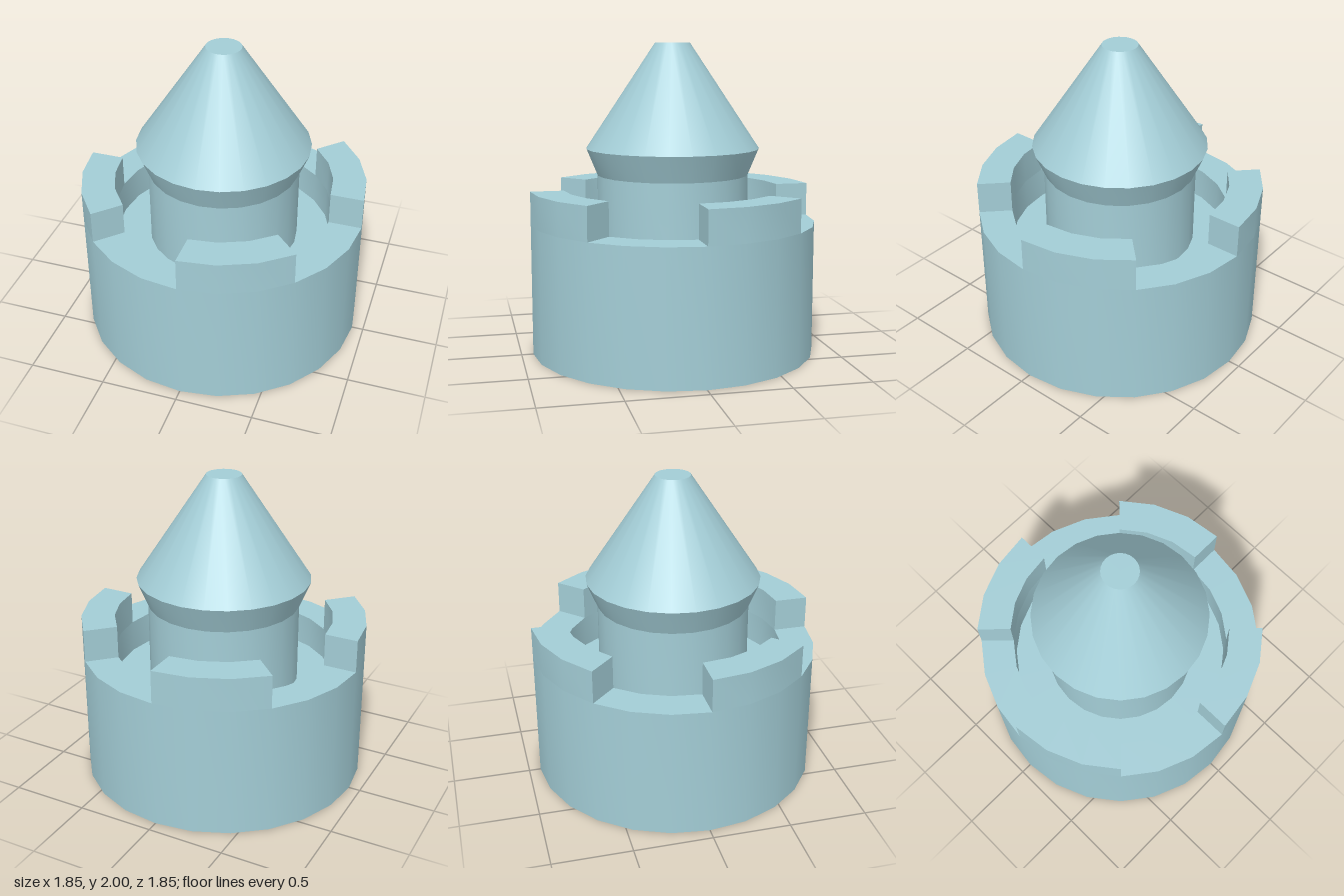
import * as THREE from 'three';
import { mergeGeometries, toCreasedNormals } from 'three/addons/utils/BufferGeometryUtils.js';

const SIDES = 24;
const OUTER = 0.925, INNER = 0.71, NECK = 0.49;
const RIM = 0.85, TOOTH_TOP = 1.065, GROOVE = 0.64;

const points = (pairs) => pairs.map(([r, y]) => new THREE.Vector2(r, y));
const crease = (geometry) => toCreasedNormals(geometry, 0.35);

// One raised tooth: a 45 degree ring sector closed by two flat ends
function toothGeometry() {
  const arc = Math.PI / 4;
  const wall = new THREE.LatheGeometry(
    points([[OUTER, RIM], [OUTER, TOOTH_TOP], [INNER, TOOTH_TOP], [INNER, RIM]]), SIDES / 8, 0, arc);
  const end = (facing) => new THREE.PlaneGeometry(OUTER - INNER, TOOTH_TOP - RIM)
    .rotateY(facing * Math.PI / 2)
    .translate(0, (RIM + TOOTH_TOP) / 2, (OUTER + INNER) / 2);
  return crease(mergeGeometries([wall, end(-1), end(1).rotateY(arc)]));
}

export function createModel() {
  const model = new THREE.Group();
  model.name = 'toothedBaseWithCone';
  const material = new THREE.MeshStandardMaterial({ color: 0xa3cdd6 });

  const add = (name, geometry) => {
    const mesh = new THREE.Mesh(geometry, material);
    mesh.name = name;
    model.add(mesh);
    return mesh;
  };
  const turned = (name, pairs) =>
    add(name, crease(new THREE.LatheGeometry(points(pairs), SIDES)));

  // Solid drum with a ring groove around the neck
  turned('base', [[0, 0], [OUTER, 0], [OUTER, RIM], [INNER, RIM], [INNER, GROOVE], [NECK, GROOVE]]);

  // Neck, flared collar and truncated cone
  turned('neck', [[NECK, GROOVE], [NECK, 1.155]]);
  turned('collar', [[NECK, 1.155], [0.56, 1.325]]);
  turned('cone', [[0.56, 1.325], [0.112, 2], [0, 2]]);

  // Four teeth on the rim
  const tooth = toothGeometry();
  for (let i = 0; i < 4; i++) {
    add(`tooth${i + 1}`, tooth).rotation.y = i * Math.PI / 2;
  }
  return model;
}
